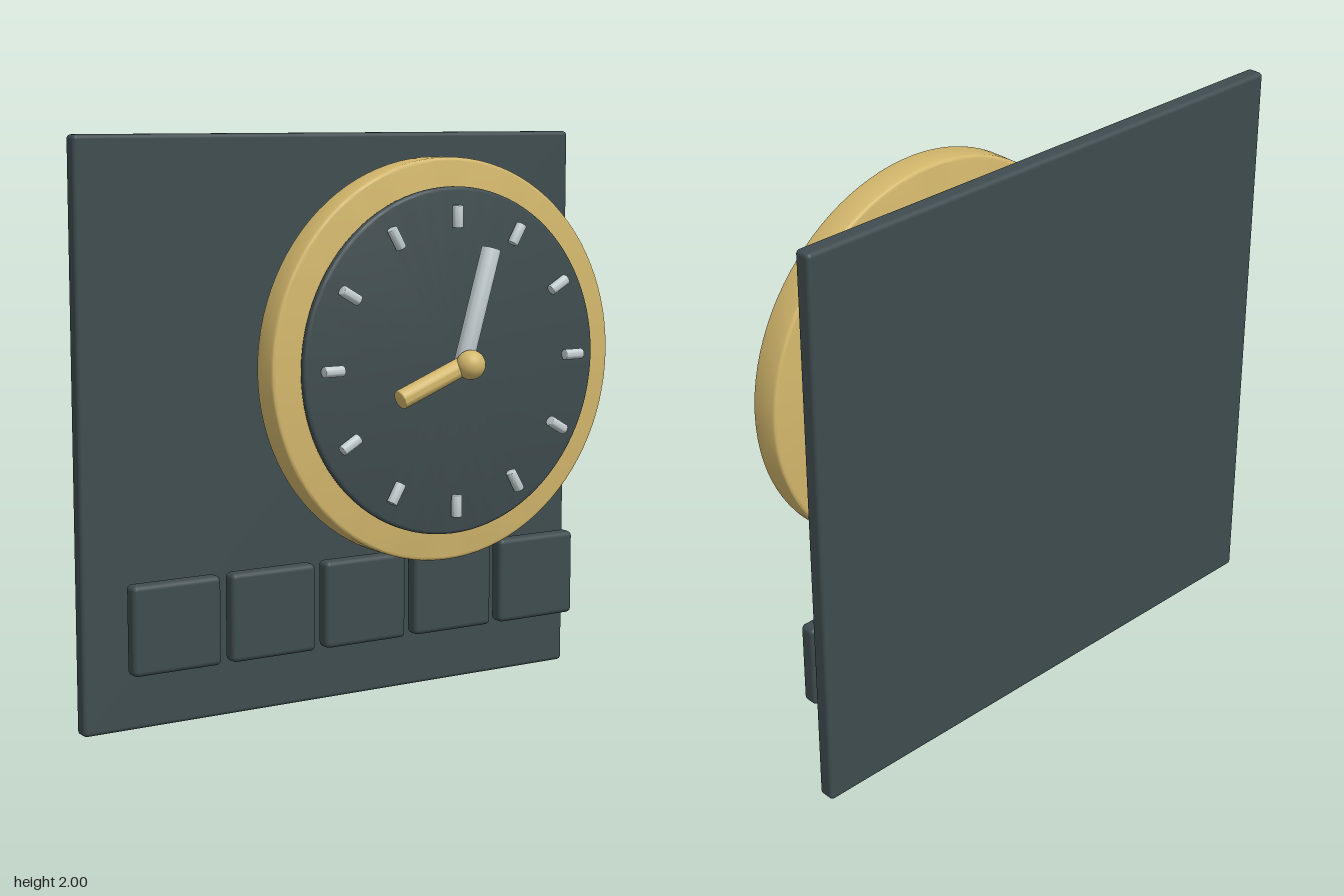
import * as THREE from 'three';
import { RoundedBoxGeometry } from 'three/addons/geometries/RoundedBoxGeometry.js';
import { toCreasedNormals } from 'three/addons/utils/BufferGeometryUtils.js';

const CX = 0.195, CY = 1.232; // clock centre

const material = (name, color) => {
  const m = new THREE.MeshStandardMaterial({ color });
  m.name = name;
  return m;
};

// Cylinder along y with softly rounded rims
function softCylinder(r, length, bevel, sides) {
  const h = length / 2, pts = [new THREE.Vector2(0, -h)];
  for (const end of [-1, 1]) {
    for (let i = 0; i <= 4; i++) {
      const a = (end < 0 ? i - 4 : i) * Math.PI / 8;
      pts.push(new THREE.Vector2(r - bevel + bevel * Math.cos(a), end * (h - bevel) + bevel * Math.sin(a)));
    }
  }
  pts.push(new THREE.Vector2(0, h));
  return toCreasedNormals(new THREE.LatheGeometry(pts, sides), 0.5);
}

export function createModel() {
  const slate = material('darkSlate', 0x3f4c4f);
  const gold = material('gold', 0xd3b76c);
  const silver = material('silver', 0xc3ced1);
  const model = new THREE.Group();
  model.name = 'clockPanel';

  const add = (parent, name, geometry, mat, x, y, z) => {
    const mesh = new THREE.Mesh(geometry, mat);
    mesh.name = name;
    mesh.position.set(x, y, z);
    parent.add(mesh);
    return mesh;
  };

  // Back panel and the row of five tiles floating before it
  add(model, 'backPanel', new RoundedBoxGeometry(2, 2, 0.062, 3, 0.015), slate, 0, 1, -0.289);
  const tile = new RoundedBoxGeometry(0.328, 0.306, 0.062, 3, 0.018);
  for (let i = 0; i < 5; i++) {
    add(model, 'tile' + (i + 1), tile, slate, (i - 2) * 0.369, 0.385, -0.103);
  }

  // Clock, centred on its own axis
  const clock = new THREE.Group();
  clock.name = 'clock';
  clock.position.set(CX, CY, 0);
  model.add(clock);

  add(clock, 'goldRim', softCylinder(0.689, 0.108, 0.012, 96), gold, 0, 0, 0.081).rotation.x = Math.PI / 2;
  add(clock, 'dial', softCylinder(0.592, 0.03, 0.012, 96), slate, 0, 0, 0.157).rotation.x = Math.PI / 2;

  // Twelve hour markers
  const marker = softCylinder(0.0185, 0.075, 0.003, 20);
  for (let i = 0; i < 12; i++) {
    const a = i * Math.PI / 6;
    add(clock, 'hourMarker' + (i + 1), marker, silver, 0.492 * Math.sin(a), 0.492 * Math.cos(a), 0.191).rotation.z = -a;
  }

  // Hands start at the centre and point along (dx, dy)
  const hand = (name, mat, dx, dy, z) => {
    const geometry = softCylinder(0.033, Math.hypot(dx, dy), 0.004, 32);
    add(clock, name, geometry, mat, dx / 2, dy / 2, z).rotation.z = -Math.atan2(dx, dy);
  };
  hand('minuteHand', silver, 0.113, 0.384, 0.226);
  hand('hourHand', gold, -0.266, -0.104, 0.243);
  add(clock, 'centreCap', new THREE.SphereGeometry(0.05, 32, 20), gold, 0, 0, 0.27);

  return model;
}
